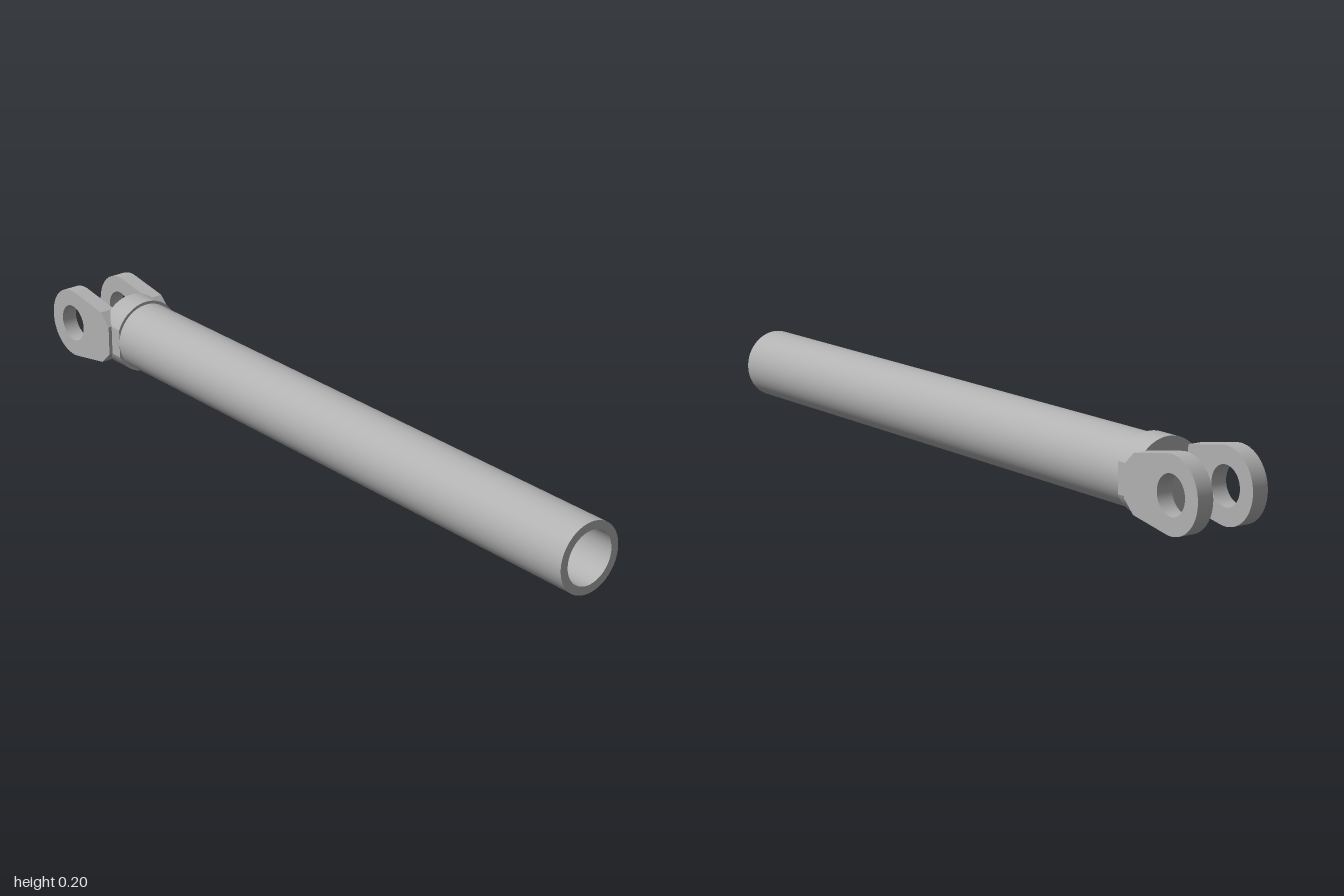
import * as THREE from 'three';

const AXIS_Y = 0.1, TUBE_R = 0.092, BORE_R = 0.07, COLLAR_R = 0.1;
const COLLAR_START = -0.77, COLLAR_END = -0.7, TUBE_END = 1;

export function createModel() {
  const model = new THREE.Group();
  const steel = new THREE.MeshStandardMaterial({ color: 0xb2b2b2 });
  steel.name = 'steel grey';

  const add = (parent, name, geometry) => {
    const mesh = new THREE.Mesh(geometry, steel);
    mesh.name = name;
    parent.add(mesh);
    return mesh;
  };

  // Hollow tube: one lathe per profile segment keeps the rims sharp
  const tube = new THREE.Group();
  tube.name = 'tube';
  tube.rotation.z = -Math.PI / 2;
  tube.position.y = AXIS_Y;
  model.add(tube);
  const profile = [
    ['outerWall', [TUBE_R, COLLAR_END - 0.01], [TUBE_R, TUBE_END]],
    ['openRim', [TUBE_R, TUBE_END], [BORE_R, TUBE_END]],
    ['bore', [BORE_R, TUBE_END], [BORE_R, COLLAR_END]],
    ['boreFloor', [BORE_R, COLLAR_END], [0, COLLAR_END]],
  ];
  for (const [name, a, b] of profile) {
    add(tube, name, new THREE.LatheGeometry([new THREE.Vector2(...a), new THREE.Vector2(...b)], 72));
  }

  // Collar: a disc with a narrow flat on each side, level with the tube wall
  const flat = Math.acos(TUBE_R / COLLAR_R);
  const disc = new THREE.Shape();
  disc.absarc(0, 0, COLLAR_R, flat, Math.PI - flat, false);
  disc.absarc(0, 0, COLLAR_R, Math.PI + flat, 2 * Math.PI - flat, false);
  disc.closePath();
  const collarGeometry = new THREE.ExtrudeGeometry(disc, {
    depth: COLLAR_END - COLLAR_START, bevelEnabled: false, curveSegments: 40,
  });
  collarGeometry.rotateY(Math.PI / 2);
  // Round the side normals, leaving the end faces and flats crisp
  const pos = collarGeometry.attributes.position, nor = collarGeometry.attributes.normal;
  for (let i = 0; i < pos.count; i++) {
    if (Math.abs(nor.getX(i)) < 0.5 && Math.abs(nor.getZ(i)) < 0.999) {
      nor.setXYZ(i, 0, pos.getY(i) / COLLAR_R, pos.getZ(i) / COLLAR_R);
    }
  }
  add(model, 'collar', collarGeometry).position.set(COLLAR_START, AXIS_Y, 0);

  // Fork lugs: rounded eye, tapering to a chamfered root in the collar
  const eyeR = 0.095, rootX = 0.135, rootY = 0.073;
  const tangent = Math.atan2(rootY, rootX) + Math.acos(eyeR / Math.hypot(rootX, rootY));
  const lug = new THREE.Shape();
  lug.absarc(0, 0, eyeR, tangent, 2 * Math.PI - tangent, false);
  lug.lineTo(rootX, -rootY);
  lug.lineTo(0.17, -0.04);
  lug.lineTo(0.17, 0.04);
  lug.lineTo(rootX, rootY);
  lug.closePath();
  const hole = new THREE.Path();
  hole.absarc(0, 0, 0.05, 0, Math.PI * 2, true);
  lug.holes.push(hole);
  const lugGeometry = new THREE.ExtrudeGeometry(lug, { depth: 0.044, bevelEnabled: false, curveSegments: 40 });
  for (const [name, z] of [['frontLug', 0.058], ['backLug', -0.102]]) {
    add(model, name, lugGeometry).position.set(-0.905, AXIS_Y, z);
  }

  return model;
}
